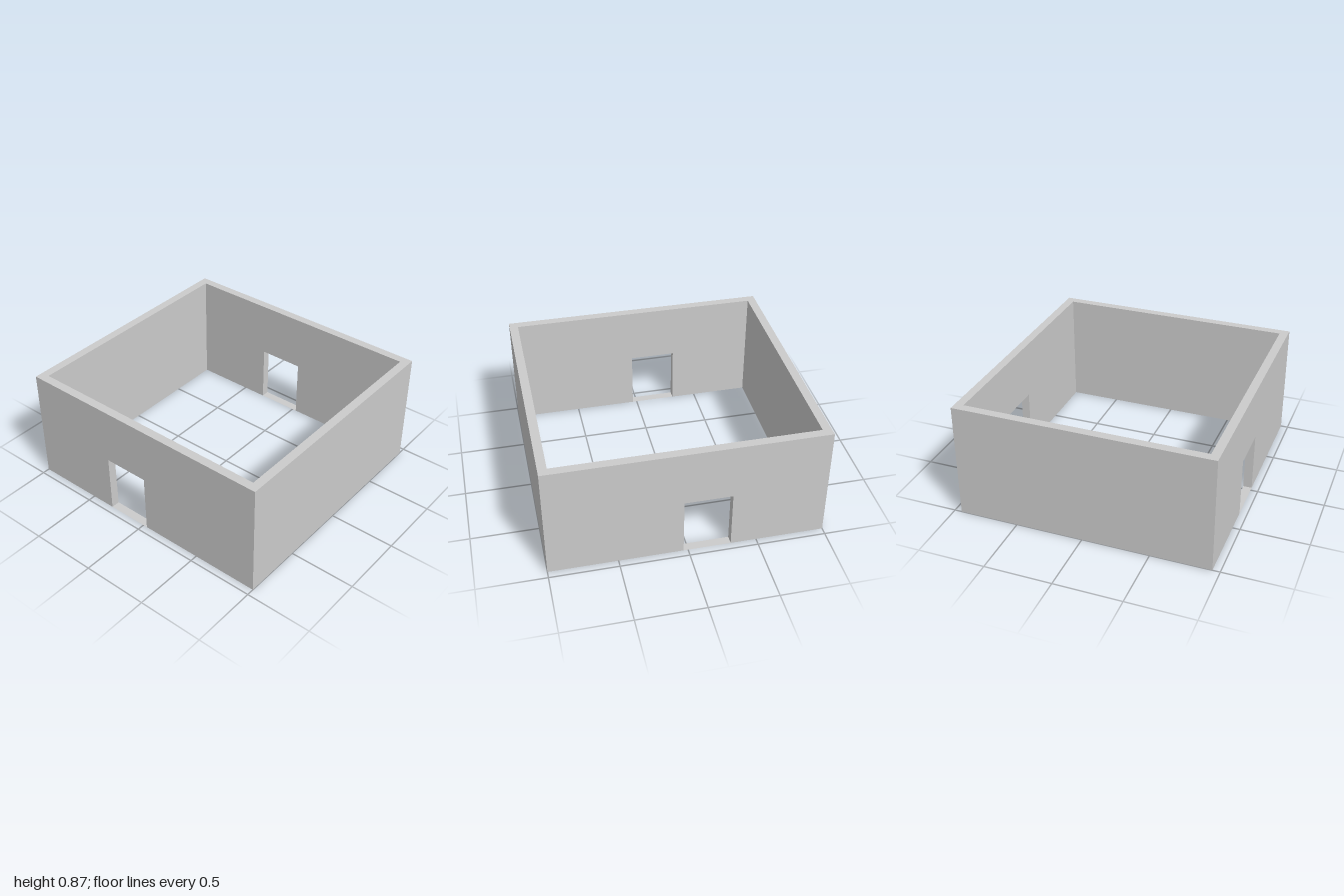
import * as THREE from 'three';

const HALF_W = 1, HALF_D = 0.945, HEIGHT = 0.866, WALL = 0.064;
const DOOR = { left: -0.312, right: 0.033, top: 0.444 };

export function createModel() {
  const group = new THREE.Group();
  const material = new THREE.MeshStandardMaterial({ color: 0xcccccc, flatShading: true });
  const sillMaterial = new THREE.MeshStandardMaterial({ color: 0xcccccc, side: THREE.DoubleSide });

  const add = (name, geometry, mat, x, y, z) => {
    const mesh = new THREE.Mesh(geometry, mat);
    mesh.name = name;
    mesh.position.set(x, y, z);
    group.add(mesh);
  };

  // Wall outline with the doorway notched out of its foot
  const outline = new THREE.Shape([
    [-HALF_W, 0], [DOOR.left, 0], [DOOR.left, DOOR.top], [DOOR.right, DOOR.top],
    [DOOR.right, 0], [HALF_W, 0], [HALF_W, HEIGHT], [-HALF_W, HEIGHT],
  ].map(([x, y]) => new THREE.Vector2(x, y)));
  const doorWall = new THREE.ExtrudeGeometry(outline, { depth: WALL, bevelEnabled: false });

  // Flat threshold lying in each doorway
  const sill = new THREE.PlaneGeometry(DOOR.right - DOOR.left, WALL).rotateX(-Math.PI / 2);
  const sillX = (DOOR.left + DOOR.right) / 2;

  // Front and back walls, doorways in line
  for (const [name, z] of [['front', HALF_D - WALL], ['back', -HALF_D]]) {
    add(name + 'Wall', doorWall, material, 0, 0, z);
    add(name + 'DoorSill', sill, sillMaterial, sillX, 0, z + WALL / 2);
  }

  // Solid side walls fitted between them
  const sideWall = new THREE.BoxGeometry(WALL, HEIGHT, 2 * (HALF_D - WALL));
  for (const [name, side] of [['leftWall', 1], ['rightWall', -1]]) {
    add(name, sideWall, material, side * (HALF_W - WALL / 2), HEIGHT / 2, 0);
  }
  return group;
}
